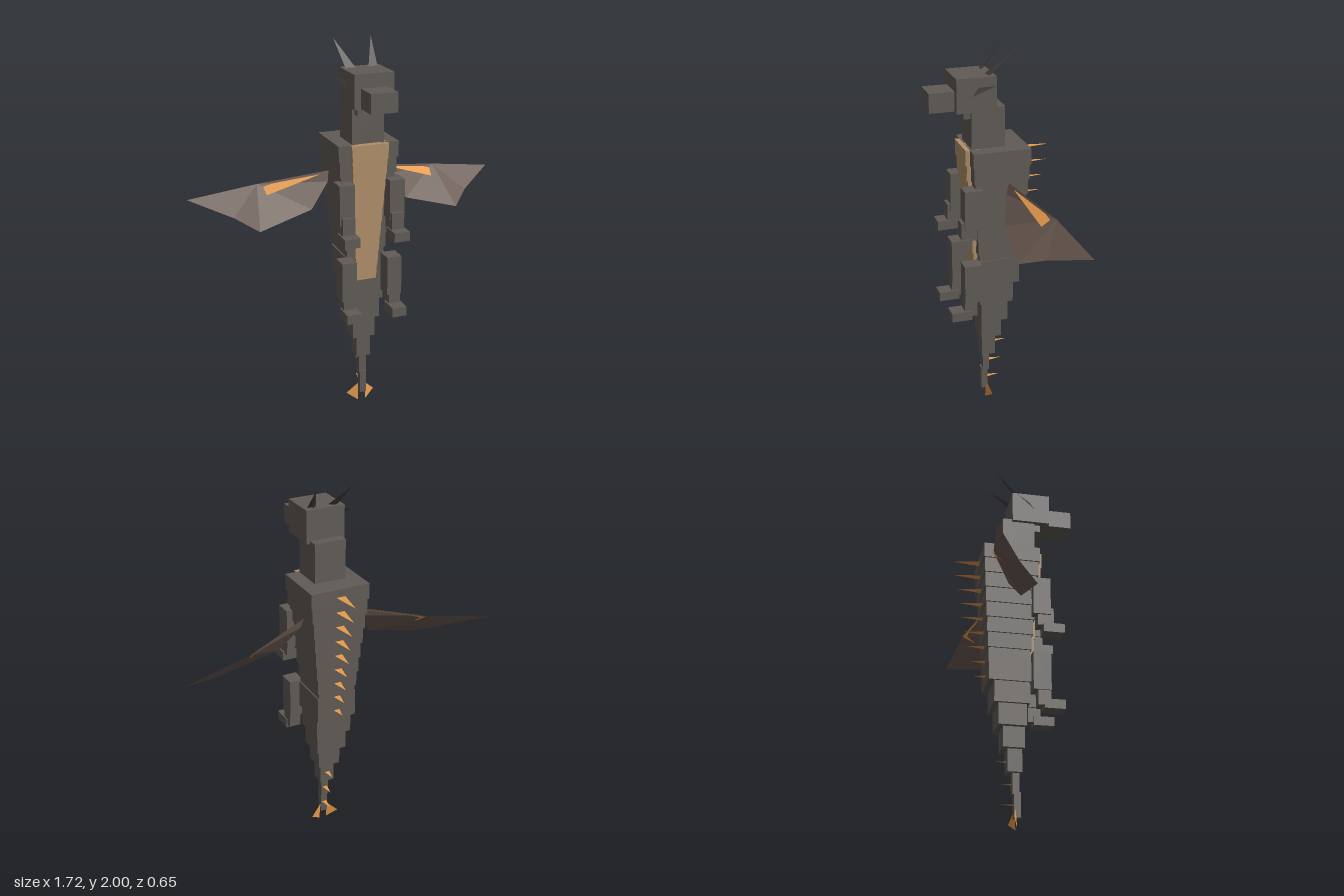
import * as THREE from 'three';

const mat = (color) => new THREE.MeshStandardMaterial({ color, flatShading: true, side: THREE.DoubleSide });
const skin = mat(0x605b56), dark = mat(0x45413e), bellyMat = mat(0xb0906a);
const membrane = mat(0x6a5a52), orange = mat(0xe89c4c);
const lerp = THREE.MathUtils.lerp;

export function createModel() {
  const model = new THREE.Group();

  // Box given by its extents along each axis
  function box(name, x0, x1, y0, y1, z0, z1, material = skin) {
    const mesh = new THREE.Mesh(new THREE.BoxGeometry(Math.abs(x1 - x0), y1 - y0, z1 - z0), material);
    mesh.position.set((x0 + x1) / 2, (y0 + y1) / 2, (z0 + z1) / 2);
    mesh.name = name;
    model.add(mesh);
  }

  // Thin plate: a triangle fan around the first point, optionally mirrored
  function plate(name, points, material, side = 1) {
    const pos = [];
    for (let i = 1; i < points.length - 1; i++) {
      const tri = [points[0], points[i], points[i + 1]];
      if (side < 0) tri.reverse();
      for (const [x, y, z] of tri) pos.push(x * side, y, z);
    }
    const geometry = new THREE.BufferGeometry();
    geometry.setAttribute('position', new THREE.Float32BufferAttribute(pos, 3));
    geometry.computeVertexNormals();
    const mesh = new THREE.Mesh(geometry, material);
    mesh.name = name;
    model.add(mesh);
  }

  // Flat horizontal spine pointing backwards
  const spine = (name, y, z, halfWidth, length) =>
    plate(name, [[-halfWidth, y, z], [halfWidth, y, z], [0, y, z - length]], orange);

  // Head and neck
  box('head', -0.105, 0.105, 1.695, 1.87, -0.005, 0.2);
  box('snout', -0.07, 0.07, 1.7, 1.8, 0.19, 0.33);
  box('jaw', -0.072, 0.072, 1.655, 1.7, 0.02, 0.155);
  box('neck', -0.086, 0.086, 1.49, 1.71, -0.055, 0.12);

  // Tapering trunk of stacked segments, each with a spine
  const count = 9, top = 1.5, step = 0.083;
  for (let i = 0; i < count; i++) {
    const t = i / (count - 1), y1 = top - i * step, y0 = y1 - step;
    const back = lerp(-0.17, -0.127, t), w = lerp(0.162, 0.095, t);
    box('trunkSegment', -w, w, y0, y1, back, lerp(0.132, 0.08, t));
    spine('backSpine', (y0 + y1) / 2, back, lerp(0.025, 0.018, t), lerp(0.155, 0.07, t));

    // Belly plate, narrowing downwards
    const wide = lerp(0.1, 0.06, t), narrow = lerp(0.095, 0.055, t);
    const geometry = new THREE.BoxGeometry(2, step, 0.07), p = geometry.attributes.position;
    for (let k = 0; k < p.count; k++) p.setX(k, p.getX(k) * (p.getY(k) > 0 ? wide : narrow));
    geometry.computeVertexNormals();
    const belly = new THREE.Mesh(geometry, bellyMat);
    belly.position.set(0, (y0 + y1) / 2, lerp(0.155, 0.1, t) - 0.035);
    belly.name = 'bellyPlate';
    model.add(belly);
  }

  // Hips and tail: half width, bottom, top, back, front
  box('hips', -0.11, 0.11, 0.74, 0.885, -0.13, 0.09);
  const tail = [
    [0.1, 0.625, 0.74, -0.1, 0.085], [0.086, 0.51, 0.625, -0.075, 0.07],
    [0.062, 0.4, 0.51, -0.048, 0.065], [0.04, 0.28, 0.4, -0.02, 0.055],
    [0.021, 0.17, 0.28, 0.008, 0.045], [0.018, 0.055, 0.185, 0.016, 0.053],
  ];
  tail.forEach(([w, y0, y1, z0, z1], i) => {
    box('tailSegment', -w, w, y0, y1, z0, z1);
    if (i > 2) spine('tailSpine', (y0 + y1) / 2, z0, 0.014, 0.07);
  });

  // Wing outline: leading edge bend, tip, trailing edge, root
  const root = [0.15, 1.325, -0.055], bend = [0.5, 1.255, -0.18];
  const wing = [bend, [0.86, 1.195, -0.23], [0.655, 1.12, -0.08], [0.55, 1.068, 0.03],
    [0.265, 1.145, 0.005], [0.16, 1.27, -0.04], root];
  const shift = ([x, y, z]) => [x - 0.002, y - 0.004, z - 0.003];

  for (const s of [1, -1]) {
    // Arm and leg share the same three blocks
    box('upperArm', s * 0.095, s * 0.177, 1.1, 1.31, 0.09, 0.183);
    box('forearm', s * 0.1, s * 0.168, 1.04, 1.14, 0.115, 0.2);
    box('hand', s * 0.093, s * 0.177, 1.0, 1.05, 0.145, 0.255);
    box('thigh', s * 0.085, s * 0.165, 0.68, 0.89, 0.09, 0.183);
    box('shin', s * 0.095, s * 0.158, 0.6, 0.72, 0.115, 0.183);
    box('foot', s * 0.085, s * 0.165, 0.582, 0.632, 0.145, 0.255);

    plate('wing', wing, membrane, s);
    plate('wingBone', [root, bend, [0.475, 1.21, -0.115]].map(shift), orange, s);

    // Horn and ear
    plate('horn', [[0.035, 1.87, 0.035], [0.085, 1.868, 0.03], [0.102, 2.0, -0.105]], dark, s);
    plate('horn', [[0.035, 1.865, 0.035], [0.065, 1.865, 0.015], [0.102, 2.0, -0.105]], dark, s);
    plate('ear', [[0.104, 1.775, 0.12], [0.104, 1.82, 0.09], [0.152, 1.835, 0.01]], dark, s);

    // Tail fin
    plate('tailFin', [[0.018, 0.1, 0.025], [0.022, 0, 0.032], [0.08, 0.04, 0.006]], orange, s);
  }
  return model;
}
